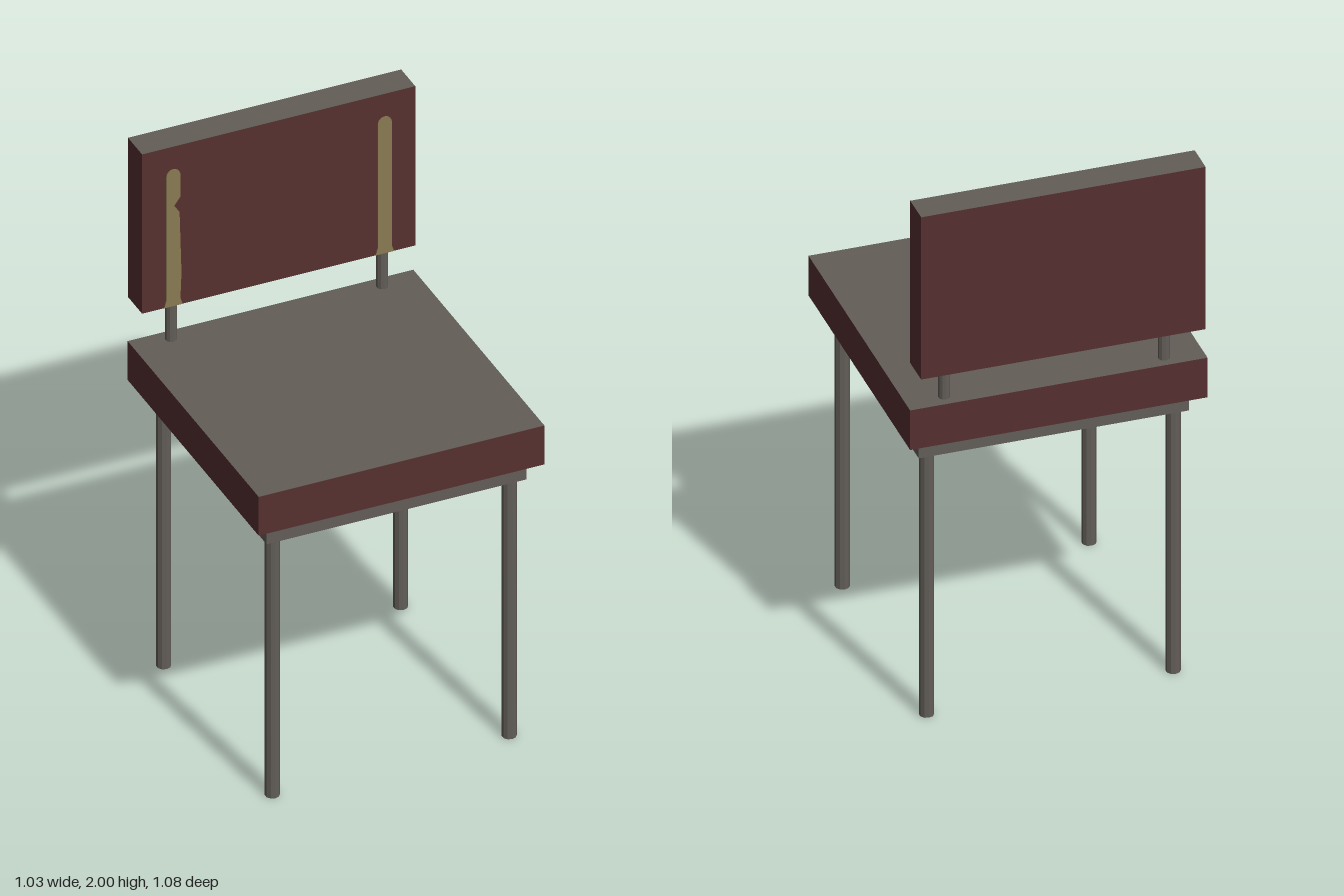
import * as THREE from 'three';

const material = (name, color, flatShading = false) => {
  const m = new THREE.MeshStandardMaterial({ color });
  m.name = name;
  m.flatShading = flatShading;
  return m;
};

export function createModel() {
  const chair = new THREE.Group();
  chair.name = 'chair';
  const red = material('dark red upholstery', 0x562f30);
  const grey = material('warm grey', 0x625d57, true);
  const tan = material('tan marking', 0x897a52);

  const add = (name, geometry, mat, x, y, z) => {
    const mesh = new THREE.Mesh(geometry, mat);
    mesh.name = name;
    mesh.position.set(x, y, z);
    chair.add(mesh);
  };
  // Box given by its lower and upper corners
  const addBox = (name, mat, a, b) => add(name,
    new THREE.BoxGeometry(b[0] - a[0], b[1] - a[1], b[2] - a[2]), mat,
    (a[0] + b[0]) / 2, (a[1] + b[1]) / 2, (a[2] + b[2]) / 2);
  // Upright rod from y0 to y1
  const addRod = (name, r, x, y0, y1, z) => add(name,
    new THREE.CylinderGeometry(r, r, y1 - y0, 10), grey, x, (y0 + y1) / 2, z);

  // Cushions are red with a grey top face
  const cushion = [red, red, grey, red, red, red];
  addBox('seat', cushion, [-0.517, 1.085, -0.495], [0.514, 1.237, 0.537]);
  addBox('backrest', cushion, [-0.495, 1.377, -0.54], [0.491, 2, -0.429]);
  addBox('seatFrame', grey, [-0.47, 1.015, -0.445], [0.467, 1.085, 0.497]);

  // Four legs and two back posts
  for (const x of [-0.43, 0.425]) {
    for (const z of [-0.401, 0.454]) addRod('leg', 0.025, x, 0, 1.015, z);
  }
  for (const x of [-0.382, 0.38]) addRod('backPost', 0.02, x, 1.23, 1.4, -0.448);

  // Thin markings on the backrest front: flared foot, rounded top
  const marking = (name, x, sidePoints) => {
    const s = new THREE.Shape();
    s.moveTo(-0.033, 1.378);
    s.lineTo(0.033, 1.378);
    s.lineTo(0.025, 1.405);
    for (const [px, py] of sidePoints) s.lineTo(px, py);
    s.lineTo(0.025, 1.89);
    s.absarc(0, 1.887, 0.025, 0, Math.PI, false);
    s.lineTo(-0.025, 1.405);
    add(name, new THREE.ExtrudeGeometry(s, { depth: 0.003, bevelEnabled: false }), tan, x, 0, -0.429);
  };
  marking('leftMarking', 0.38, []);
  // The right marking has a worn notch near the top
  marking('rightMarking', -0.383, [[0.029, 1.5], [0.022, 1.74], [0.003, 1.77], [0.025, 1.8]]);

  return chair;
}
